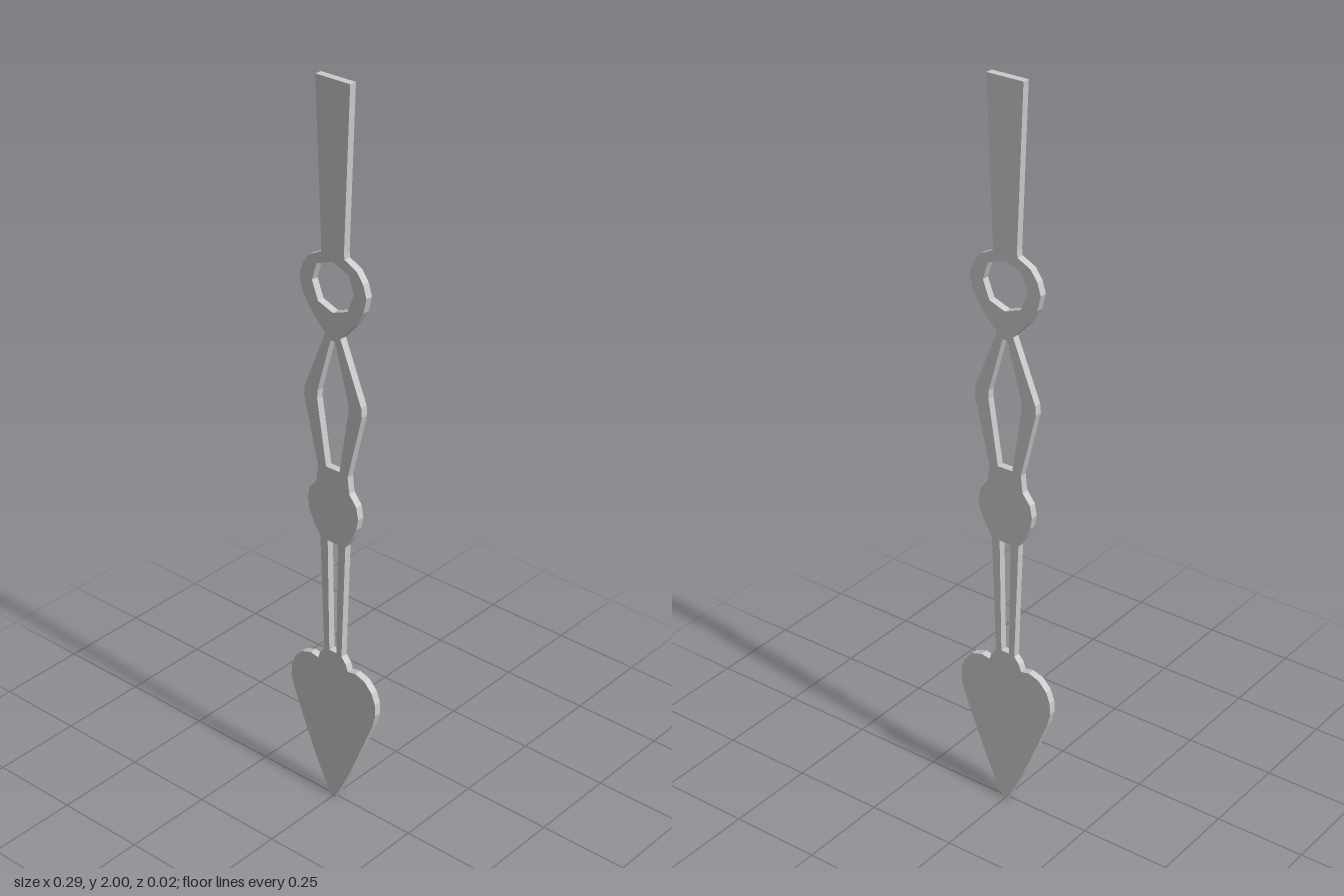
import * as THREE from 'three';

const THICKNESS = 0.02;

// Closed symmetric loop from its right half, listed bottom to top
function mirrored(half) {
  const right = half.map(([x, y]) => new THREE.Vector2(x, y));
  const left = half.filter(([x]) => x > 0).reverse().map(([x, y]) => new THREE.Vector2(-x, y));
  return [...right, ...left];
}

export function createModel() {
  const group = new THREE.Group();
  group.name = 'clockHand';

  const outline = new THREE.Shape(mirrored([
    // spade tip
    [0.008, 0], [0.06, 0.108], [0.1, 0.205], [0.134, 0.29], [0.143, 0.325], [0.141, 0.358],
    [0.13, 0.388], [0.106, 0.414], [0.075, 0.424], [0.05, 0.419],
    // lower slotted stem
    [0.044, 0.438], [0.029, 0.456], [0.041, 0.788],
    // boss
    [0.062, 0.822], [0.076, 0.85], [0.082, 0.882], [0.076, 0.915], [0.053, 0.945], [0.048, 0.99],
    // diamond
    [0.092, 1.17], [0.09, 1.195], [0.024, 1.358],
    // ring
    [0.068, 1.405], [0.094, 1.446], [0.104, 1.487], [0.094, 1.52], [0.074, 1.548], [0.036, 1.567],
    // tapered tail
    [0.035, 1.585], [0.052, 2],
  ]));

  // Stem slot, diamond window and ring eye
  const holes = [
    [[0.012, 0.46], [0.017, 0.785]],
    [[0.022, 0.995], [0.05, 1.172], [0.049, 1.195], [0.007, 1.345]],
    [[0, 1.419], [0.046, 1.436], [0.065, 1.485], [0.05, 1.532], [0, 1.551]],
  ];
  for (const hole of holes) outline.holes.push(new THREE.Path(mirrored(hole)));

  const geometry = new THREE.ExtrudeGeometry(outline, { depth: THICKNESS, bevelEnabled: false });
  geometry.translate(0, 0, -THICKNESS / 2);

  const blade = new THREE.Mesh(geometry, new THREE.MeshStandardMaterial({ color: 0xcccccc, flatShading: true }));
  blade.name = 'handBlade';
  group.add(blade);
  return group;
}
